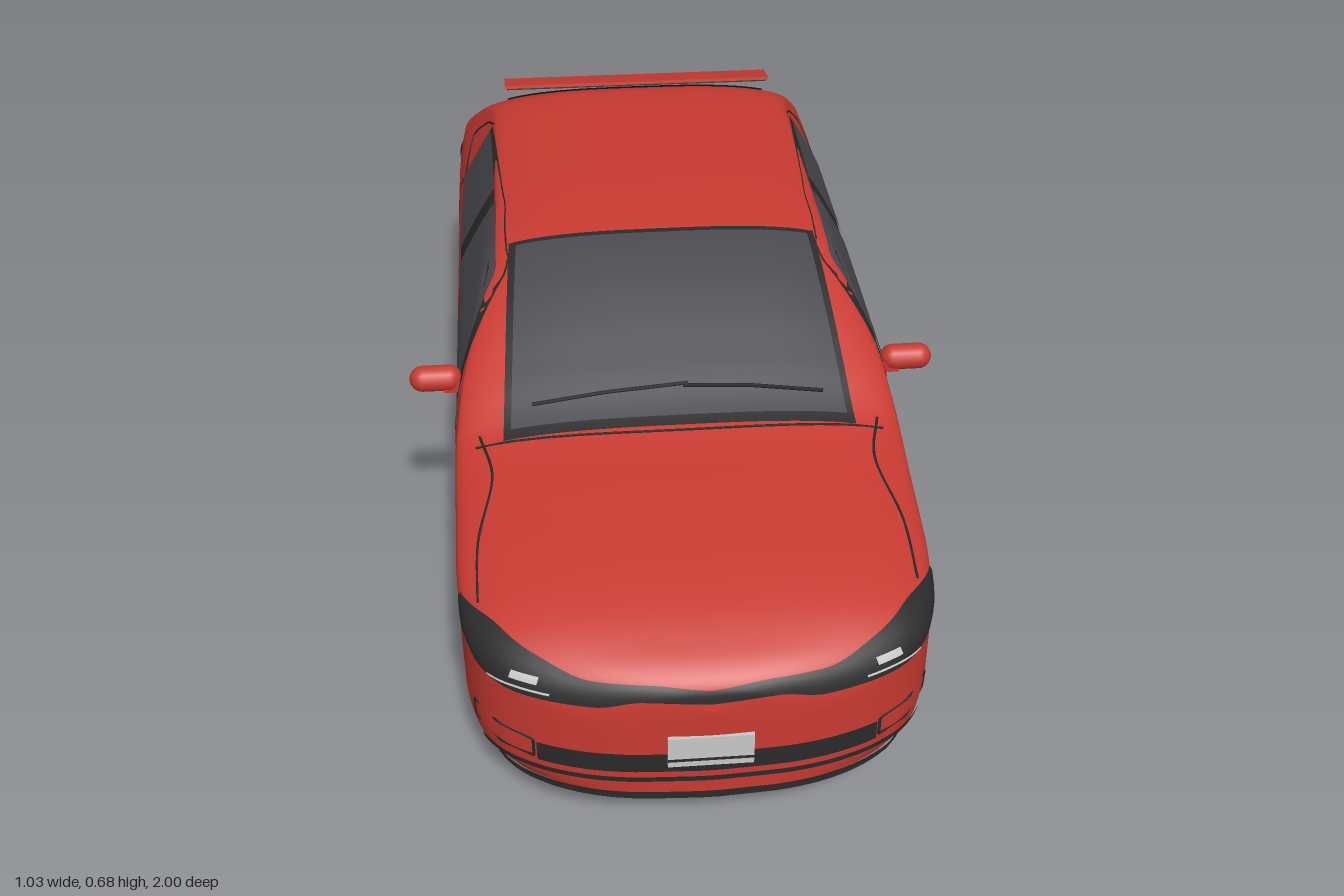
import * as THREE from 'three';

const mat = (name, color, side = THREE.DoubleSide) => {
  const m = new THREE.MeshStandardMaterial({ color, side });
  m.name = name;
  return m;
};

// Monotone cubic through [position, value] pairs
function curve(pts) {
  const p = [...pts].sort((a, b) => a[0] - b[0]), n = p.length;
  const d = p.slice(1).map((q, i) => (q[1] - p[i][1]) / (q[0] - p[i][0]));
  const m = p.map((_, i) => i === 0 ? d[0] : i === n - 1 ? d[n - 2]
    : d[i - 1] * d[i] <= 0 ? 0 : 2 * d[i - 1] * d[i] / (d[i - 1] + d[i]));
  return t => {
    if (t <= p[0][0]) return p[0][1];
    if (t >= p[n - 1][0]) return p[n - 1][1];
    let i = 0;
    while (t > p[i + 1][0]) i++;
    const h = p[i + 1][0] - p[i][0], u = (t - p[i][0]) / h, v = 1 - u;
    return v * v * (1 + 2 * u) * p[i][1] + u * u * (3 - 2 * u) * p[i + 1][1]
      + h * u * v * (v * m[i] - u * m[i + 1]);
  };
}

// Body rules: top line, plan width, side taper, crown depth
const FRONT = 0.995, REAR = -1, FLOOR = 0.11, AXLE = 0.16;
const top = curve([[0.995, 0.3], [0.985, 0.34], [0.96, 0.365], [0.92, 0.385], [0.85, 0.41], [0.7, 0.443], [0.6, 0.46],
  [0.42, 0.492], [0.3, 0.547], [0.2, 0.595], [0.1, 0.637], [0, 0.667], [-0.1, 0.68], [-0.25, 0.687], [-0.55, 0.687],
  [-0.65, 0.68], [-0.7, 0.665], [-0.8, 0.608], [-0.88, 0.545], [-0.92, 0.5], [-0.96, 0.453], [-0.985, 0.41], [-1, 0.34]]);
const plan = curve([[0.995, 0.02], [0.988, 0.14], [0.97, 0.23], [0.94, 0.305], [0.9, 0.362], [0.85, 0.398], [0.78, 0.42],
  [0.65, 0.43], [-0.7, 0.43], [-0.85, 0.426], [-0.92, 0.412], [-0.96, 0.388], [-0.985, 0.335], [-0.997, 0.22], [-1, 0.02]]);
const taper = curve([[0.11, 0.395], [0.14, 0.422], [0.2, 0.43], [0.42, 0.43], [0.5, 0.416], [0.58, 0.378], [0.65, 0.337], [0.69, 0.312]]);
const crown = curve([[1, 0.08], [0.6, 0.07], [0.42, 0.06], [0.2, 0.045], [-0.5, 0.035], [-0.8, 0.05], [-1, 0.08]]);
const wheels = [{ z: 0.57, r: 0.188 }, { z: -0.68, r: 0.176 }];

function halfWidth(y, z) {
  const t = top(z), d = crown(z);
  if (y > t || z > FRONT || z < REAR) return 0;
  const q = Math.max(0, (y - t + d) / d);
  return plan(z) * taper(y) / 0.43 * Math.cbrt(Math.max(0, 1 - q * q));
}
function lowerEdge(z) {
  let y = FLOOR;
  for (const w of wheels) {
    const k = w.r ** 2 - (z - w.z) ** 2;
    if (k > 0) y = Math.max(y, AXLE + Math.sqrt(k));
  }
  return y;
}
function bisect(inside, lo, hi) {
  for (let i = 0; i < 32; i++) {
    const m = (lo + hi) / 2;
    if (inside(m)) lo = m; else hi = m;
  }
  return lo;
}

// Points on the body: on a side, from above, and wrapped round an end (angle in degrees)
const V = (x, y, z) => new THREE.Vector3(x, y, z);
const onSide = (s, z, y, off) => V(s * (halfWidth(y, z) + off), y, z);
const onTop = (x, z, off) => V(x, bisect(y => halfWidth(y, z) >= Math.abs(x), 0.3, top(z)) + off, z);
const onEnd = (e, deg, y, off) => {
  const a = deg * Math.PI / 180, z0 = e > 0 ? 0.55 : -0.6, sx = Math.sin(a), cz = e * Math.cos(a);
  const r = bisect(k => Math.abs(k * sx) < halfWidth(y, z0 + k * cz), 0, 1) + off;
  return V(r * sx, y, z0 + r * cz);
};

// Grid surface from a rule
function grid(nu, nv, fn) {
  const pos = [], idx = [];
  for (let i = 0; i <= nu; i++) for (let j = 0; j <= nv; j++) {
    pos.push(...fn(i / nu, j / nv, i, j).toArray());
    if (i < nu && j < nv) {
      const a = i * (nv + 1) + j, b = a + nv + 1;
      idx.push(a, a + 1, b, b, a + 1, b + 1);
    }
  }
  const g = new THREE.BufferGeometry();
  g.setAttribute('position', new THREE.Float32BufferAttribute(pos, 3));
  g.setIndex(idx);
  g.computeVertexNormals();
  return g;
}
const mix = (a, b, t) => a + (b - a) * t;

export function createModel() {
  const red = mat('body red', 0xc83a31), glass = mat('window glass', 0x49484d), black = mat('black trim', 0x2a2a2b);
  const rubber = mat('tyre rubber', 0x303031), rimGrey = mat('rim grey', 0x6b6b6d), pale = mat('pale grey', 0xc8c8c8);
  const car = new THREE.Group();
  car.name = 'car';
  const add = (name, geo, m, parent = car, x = 0, y = 0, z = 0) => {
    const o = new THREE.Mesh(geo, m);
    o.name = name;
    o.position.set(x, y, z);
    parent.add(o);
    return o;
  };
  const seam = (name, pts, m = black, r = 0.0028, smooth = false) => {
    const path = new THREE.CurvePath();
    if (!smooth) for (let i = 1; i < pts.length; i++) path.add(new THREE.LineCurve3(pts[i - 1], pts[i]));
    const c = smooth ? new THREE.CatmullRomCurve3(pts) : path;
    return add(name, new THREE.TubeGeometry(c, pts.length * 6, r, 5), m);
  };
  const band = (name, e, a0, a1, lo, hi, m, off = 0.004) => add(name, grid(60, 5, (u, v) => {
    const a = mix(a0, a1, u), k = Math.abs(a);
    return onEnd(e, a, mix(lo(k), hi(k), v), off);
  }), m);
  const flat = y => () => y;

  // Body shell
  const zs = [];
  for (let i = 0; i <= 140; i++) zs.push(-0.0025 + 0.9975 * Math.cos(Math.PI * i / 140));
  for (const w of wheels) {
    const reach = Math.sqrt(w.r ** 2 - (AXLE - FLOOR) ** 2);
    for (let k = 0; k <= 32; k++) zs.push(w.z + (reach + 0.0005) * Math.cos(Math.PI * k / 32));
  }
  zs.sort((a, b) => a - b);
  const LOW = 16, HIGH = 14, HALF = LOW + HIGH;
  add('bodyShell', grid(zs.length - 1, HALF * 2, (u, v, i, j) => {
    const z = zs[i], k = j <= HALF ? j : 2 * HALF - j, t = top(z), d = crown(z);
    const y = k <= LOW ? mix(lowerEdge(z), t - d, k / LOW) : t - d + d * Math.sin((k - LOW) / HIGH * Math.PI / 2);
    return V((j < HALF ? -1 : 1) * (k === HALF ? 0 : halfWidth(y, z)), y, z);
  }), red);

  // Underside, narrowed between the wheels
  const floorPart = (name, list, m) => add(name, grid(list.length - 1, 2, (u, v, i) => {
    const z = list[i];
    return V((v * 2 - 1) * (lowerEdge(z) > FLOOR + 0.001 ? 0.31 : halfWidth(FLOOR, z)), FLOOR, z);
  }), m);
  floorPart('floor', zs.filter(z => z < 0.77), black);
  floorPart('frontBumperUnderside', zs.filter(z => z > 0.75), red);

  // Windscreen and rear window
  const topPane = (name, z0, z1, x0, x1, m, off) => add(name, grid(24, 24, (u, v) =>
    onTop((v * 2 - 1) * mix(x0, x1, u), mix(z0, z1, u), off)), m);
  topPane('windscreenFrame', 0.425, -0.015, 0.337, 0.312, black, 0.003);
  topPane('windscreen', 0.405, 0.0, 0.322, 0.298, glass, 0.006);
  topPane('rearWindow', -0.715, -0.885, 0.3, 0.315, black, 0.004);
  const wiper = (name, list) => seam(name, list.map(([x, z]) => onTop(x, z, 0.011)), black, 0.004);
  wiper('leftWiper', [[0.28, 0.365], [0.14, 0.355], [0.01, 0.35]]);
  wiper('rightWiper', [[0.02, 0.345], [-0.14, 0.355], [-0.28, 0.365]]);
  wiper('rearWiper', [[0.08, -0.87], [0.03, -0.875], [-0.02, -0.885]]);

  // Spoiler
  const spoiler = new THREE.Group();
  spoiler.name = 'spoiler';
  spoiler.position.set(0, 0.671, -0.735);
  spoiler.rotation.x = -0.2;
  car.add(spoiler);
  add('spoilerBlade', new THREE.BoxGeometry(0.62, 0.007, 0.075), red, spoiler);
  add('spoilerUnderside', new THREE.BoxGeometry(0.61, 0.004, 0.07), black, spoiler, 0, -0.005, 0);

  // Side glass, doors, mirrors
  const sill = curve([[0.27, 0.482], [-0.19, 0.503], [-0.56, 0.525]]);
  const head = curve([[0.27, 0.503], [0.2, 0.55], [0.1, 0.605], [0.03, 0.633], [-0.08, 0.648], [-0.2, 0.655], [-0.45, 0.65], [-0.56, 0.643]]);
  for (const s of [1, -1]) {
    const side = s > 0 ? 'left' : 'right';
    const pane = (name, z0, z1, grow, m, off) => add(side + name, grid(24, 8, (u, v) => {
      const z = mix(z0, z1, u);
      return onSide(s, z, mix(sill(z) - grow, Math.min(head(z) + grow, top(z) - 0.012), v), off);
    }), m);
    pane('WindowFrame', 0.275, -0.56, 0.007, black, 0.003);
    pane('FrontWindow', 0.262, -0.19, 0, glass, 0.006);
    pane('RearWindow', -0.25, -0.548, 0, glass, 0.006);
    const line = (name, pts, smooth) => seam(side + name, pts.map(([z, y]) => onSide(s, z, y, 0)), black, 0.0028, smooth);
    line('QuarterTrim', [[-0.56, 0.652], [-0.62, 0.63], [-0.67, 0.59], [-0.69, 0.565], [-0.65, 0.545], [-0.56, 0.522]]);
    line('DoorOutline', [[0.25, 0.49], [0.31, 0.44], [0.345, 0.37], [0.358, 0.25], [0.358, 0.16], [0.335, 0.143], [0, 0.143],
      [-0.46, 0.146], [-0.49, 0.17], [-0.515, 0.24], [-0.575, 0.34], [-0.605, 0.42], [-0.595, 0.49], [-0.56, 0.525]]);
    line('DoorSplit', [[-0.19, 0.5], [-0.185, 0.32], [-0.17, 0.145]]);
    line('BonnetSeam', [[0.78, 0.385], [0.65, 0.417], [0.5, 0.452], [0.4, 0.47]], true);
    add(side + 'Sill', grid(30, 2, (u, v) => {
      const z = mix(0.375, -0.5, u);
      return onSide(s, z, mix(0.105, 0.127, v), 0.005);
    }), black);

    const shell = add(side + 'Mirror', new THREE.CapsuleGeometry(0.026, 0.05, 8, 16), red, car, s * 0.465, 0.505, 0.245);
    shell.rotation.z = Math.PI / 2;
    add(side + 'MirrorFoot', new THREE.BoxGeometry(0.05, 0.02, 0.03), red, car, s * 0.425, 0.492, 0.25);
  }
  seam('bonnetRearSeam', Array.from({ length: 13 }, (_, i) => onTop((i - 6) * 0.065, 0.435 - 0.012 * ((i - 6) / 6) ** 2, 0)));

  // Nose: lamps, grilles, bumper lines, plate
  const lampTop = curve([[0, 0.342], [15, 0.352], [25, 0.352], [40, 0.37], [55, 0.384], [66, 0.378]]);
  const lampLow = curve([[0, 0.318], [15, 0.325], [25, 0.311], [40, 0.311], [50, 0.321], [60, 0.347], [66, 0.37]]);
  band('headlampBand', 1, -66, 66, lampLow, lampTop, black);
  band('lowerGrille', 1, -37, 37, flat(0.166), flat(0.208), black);
  band('bumperSlot', 1, -52, 52, flat(0.142), flat(0.153), black);
  band('frontLip', 1, -60, 60, flat(0.1), flat(0.116), black);
  for (const s of [1, -1]) {
    band('headlamp', 1, s * 37, s * 43, flat(0.335), flat(0.347), pale, 0.007);
    band('lampStrip', 1, s * 34, s * 48, flat(0.322), flat(0.326), pale, 0.007);
    const frame = [[38, 0.17], [46, 0.17], [55, 0.174], [55, 0.214], [46, 0.214], [38, 0.21], [38, 0.17]];
    seam('fogLampFrame', frame.map(([a, y]) => onEnd(1, s * a, y, 0)), black, 0.0035);
  }
  add('frontPlate', new THREE.BoxGeometry(0.15, 0.066, 0.008), pale, car, 0, 0.213, 0.996);
  add('plateBar', new THREE.BoxGeometry(0.15, 0.006, 0.004), black, car, 0, 0.195, 0.9985);

  // Tail: bumper, lamps, seams, plate
  band('rearBumperTrim', -1, -50, 50, flat(0.105), flat(0.16), black);
  const arc = (a, y) => Array.from({ length: 25 }, (_, i) => onEnd(-1, a * (i / 12 - 1), y, 0));
  seam('tailgateSeam', arc(40, 0.452), black, 0.0025);
  seam('rearBumperSeam', arc(52, 0.36), black, 0.002);
  for (const s of [1, -1]) {
    band('tailLampStrip', -1, s * 44, s * 56, flat(0.408), flat(0.413), pale);
    band('tailLampTrim', -1, s * 54, s * 59, flat(0.42), flat(0.448), black);
  }
  add('rearPlate', new THREE.BoxGeometry(0.15, 0.075, 0.008), pale, car, 0, 0.3, -0.999);

  // Wheels and wells
  const tyreShape = [[0.1, -0.05], [0.138, -0.05], [0.15, -0.043], [0.155, -0.03], [0.155, 0.03], [0.15, 0.043], [0.138, 0.05], [0.1, 0.05], [0.1, -0.05]];
  const tyreGeo = new THREE.LatheGeometry(tyreShape.map(p => new THREE.Vector2(...p)), 48).rotateZ(-Math.PI / 2);
  const drum = (r, w) => new THREE.CylinderGeometry(r, r, w, 32).rotateZ(Math.PI / 2);
  for (const w of wheels) for (const s of [1, -1]) {
    const wheel = new THREE.Group();
    wheel.name = (s > 0 ? 'left' : 'right') + (w.z > 0 ? 'FrontWheel' : 'RearWheel');
    wheel.position.set(s * 0.373, AXLE, w.z);
    wheel.scale.x = s;
    car.add(wheel);
    add('tyre', tyreGeo, rubber, wheel);
    add('wheelBack', drum(0.102, 0.04), black, wheel, -0.015);
    add('brakeDisc', drum(0.07, 0.01), rimGrey, wheel, 0.01);
    add('brakeCaliper', new THREE.BoxGeometry(0.014, 0.045, 0.028), red, wheel, 0.02, 0.038, -0.052).rotation.x = -0.9;
    add('rimRing', new THREE.TorusGeometry(0.099, 0.006, 8, 40).rotateY(Math.PI / 2), rimGrey, wheel, 0.045);
    add('hub', drum(0.022, 0.03), rimGrey, wheel, 0.03);
    for (let i = 0; i < 10; i++) {
      const a = (Math.floor(i / 2) + (i % 2 ? 0.2 : -0.2)) * Math.PI * 0.4;
      const spoke = add('spoke', new THREE.BoxGeometry(0.01, 0.085, 0.011), rimGrey, wheel, 0.038, 0.056 * Math.cos(a), 0.056 * Math.sin(a));
      spoke.rotation.x = a;
    }
    const dip = 0.26, sweep = Math.PI + 2 * dip;
    add('wheelArchLiner', grid(32, 1, (u, v) => {
      const a = -dip + sweep * u;
      return V(s * mix(0.31, 0.405, v), AXLE + w.r * Math.sin(a), w.z + w.r * Math.cos(a));
    }), black);
    add('wheelWellWall', new THREE.CircleGeometry(w.r, 32, -dip, sweep).rotateY(Math.PI / 2), black, car, s * 0.312, AXLE, w.z);
  }
  return car;
}
